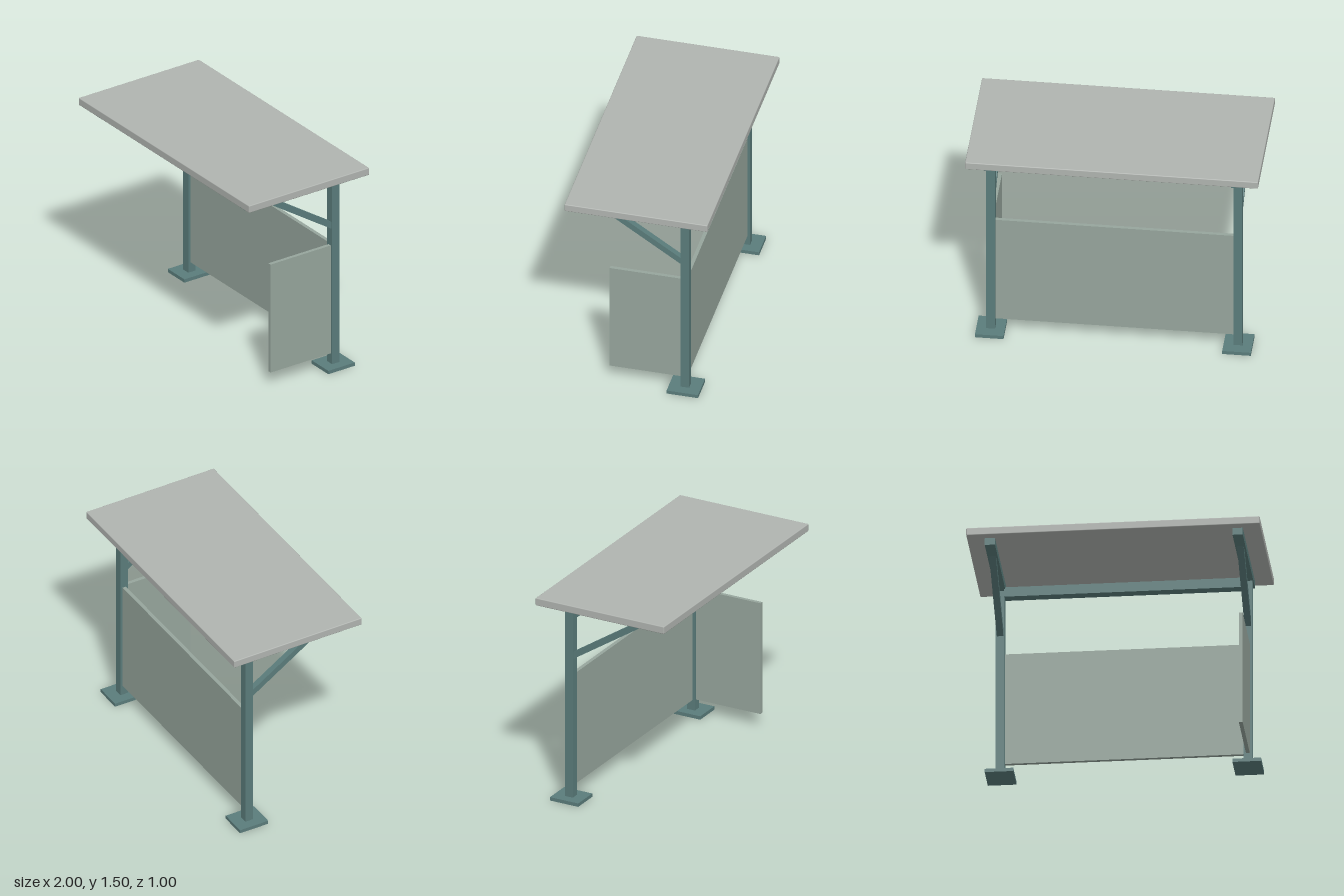
import * as THREE from 'three';
import { RoundedBoxGeometry } from 'three/addons/geometries/RoundedBoxGeometry.js';

const steel = new THREE.MeshStandardMaterial({ color: 0x5a7c7b });
const roofGrey = new THREE.MeshStandardMaterial({ color: 0xb0b4b0 });
const panelGrey = new THREE.MeshStandardMaterial({ color: 0x96a59c });

const POST_X = 0.844;
const POST_Z = -0.31;

export function createModel() {
  const model = new THREE.Group();
  model.name = 'shelter';

  const add = (name, geometry, material, x, y, z, parent = model) => {
    const mesh = new THREE.Mesh(geometry, material);
    mesh.name = name;
    mesh.position.set(x, y, z);
    parent.add(mesh);
    return mesh;
  };
  const box = (w, h, d) => new THREE.BoxGeometry(w, h, d);

  // Roof slab with slightly eased edges
  add('roof', new RoundedBoxGeometry(2, 0.055, 1, 2, 0.006), roofGrey, 0, 1.4775, 0);

  // Diagonal brace: outline in (z, y), extruded across x
  const outline = new THREE.Shape([
    [-0.28, 1.05], [0.255, 1.4], [0.178, 1.4], [-0.28, 1.1],
  ].map(([z, y]) => new THREE.Vector2(z, y)));
  const braceGeometry = new THREE.ExtrudeGeometry(outline, { depth: 0.045, bevelEnabled: false });
  braceGeometry.translate(0, 0, -0.0225).rotateY(-Math.PI / 2);

  // Two mirrored supports
  for (const side of [-1, 1]) {
    const support = new THREE.Group();
    support.name = side > 0 ? 'leftSupport' : 'rightSupport';
    support.position.x = side * POST_X;
    model.add(support);
    add('basePlate', box(0.195, 0.025, 0.22), steel, 0, 0.0125, POST_Z, support);
    add('post', box(0.06, 1.363, 0.06), steel, 0, 0.7065, POST_Z, support);
    add('rafter', box(0.07, 0.05, 0.875), steel, 0, 1.425, 0.0025, support);
    add('brace', braceGeometry, steel, 0, 0, 0, support);
  }

  // Cross beam joining the posts
  add('crossBeam', box(1.636, 0.07, 0.07), steel, 0, 1.377, POST_Z);

  // Back panel between the posts and one side panel in front of the left post
  add('backPanel', box(1.63, 0.82, 0.026), panelGrey, 0, 0.51, POST_Z);
  add('sidePanel', box(0.026, 0.82, 0.5), panelGrey, POST_X, 0.51, -0.03);

  return model;
}
